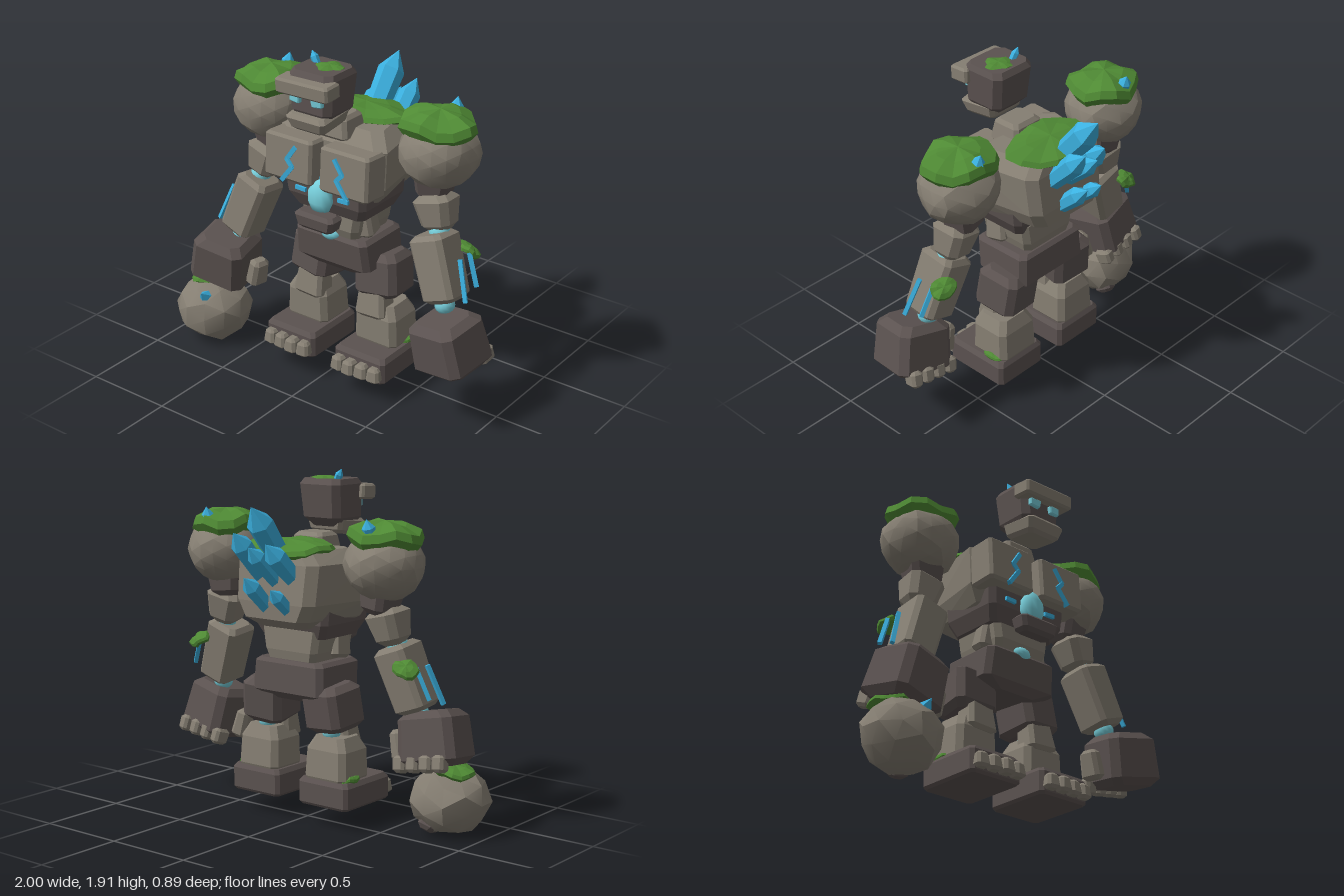
import * as THREE from 'three';
import { ConvexGeometry } from 'three/addons/geometries/ConvexGeometry.js';
import { toCreasedNormals } from 'three/addons/utils/BufferGeometryUtils.js';

const paint = (name, color) => Object.assign(new THREE.MeshStandardMaterial({ color }), { name });
const V = (p) => new THREE.Vector3(...p);

export function createModel() {
  const stone = paint('stone', 0x857e72);
  const dark = paint('dark stone', 0x5b5250);
  const moss = paint('moss', 0x4f8a34);
  const blue = paint('crystal blue', 0x3bb0df);
  const glow = paint('glow cyan', 0x78d0dc);

  const model = new THREE.Group();
  const golem = new THREE.Group();
  golem.name = 'golem';
  golem.position.x = 0.04; // body axis
  model.add(golem);

  function add(name, geo, mat, pos = [0, 0, 0], rot = [0, 0, 0]) {
    const mesh = new THREE.Mesh(geo, mat);
    mesh.name = name;
    mesh.position.set(...pos);
    mesh.rotation.set(...rot);
    golem.add(mesh);
    return mesh;
  }
  function flat(geo) {
    const g = geo.toNonIndexed();
    g.computeVertexNormals();
    return g;
  }

  // Convex block from level rings [y, half width, back z, front z] with cut corners;
  // rear scales the width of the back
  function block(rings, cut = 0.03, rear = 1) {
    const pts = [];
    for (const [y, w, z0, z1] of rings) {
      const c = Math.min(cut, w * 0.5, (z1 - z0) * 0.3);
      for (const s of [-1, 1]) {
        pts.push(V([s * w * rear, y, z0 + c]), V([s * (w * rear - c), y, z0]));
        pts.push(V([s * w, y, z1 - c]), V([s * (w - c), y, z1]));
      }
    }
    return new ConvexGeometry(pts);
  }
  // Chamfered rock; top and bottom scale its ends
  function rock(w, h, d, top = 1, bottom = 1, b = 0.02) {
    const ring = (y, k, i) => [y, k * w / 2 - i, -k * d / 2 + i, k * d / 2 - i];
    return block([ring(-h / 2, bottom, b), ring(b - h / 2, bottom, 0),
      ring(h / 2 - b, top, 0), ring(h / 2, top, b)], b);
  }
  // Rounded boulder with mild lumps
  function boulder(rx, ry, rz, detail, lump, crease) {
    const g = new THREE.IcosahedronGeometry(1, detail);
    const p = g.attributes.position;
    for (let i = 0; i < p.count; i++) {
      const v = new THREE.Vector3().fromBufferAttribute(p, i);
      const k = 1 + lump * Math.sin(4 * v.x + 3 * v.y + 5 * v.z);
      p.setXYZ(i, v.x * k * rx, v.y * k * ry, v.z * k * rz);
    }
    return toCreasedNormals(g, crease);
  }
  // Ragged moss cushion
  function cushion(rx, h, rz, seed = 0) {
    const prof = [[0, 0], [0.85, -0.1], [1, 0.25], [0.93, 0.6], [0.55, 0.88], [0, 1]];
    const g = new THREE.LatheGeometry(prof.map((q) => new THREE.Vector2(...q)), 14);
    const p = g.attributes.position;
    for (let i = 0; i < p.count; i++) {
      const x = p.getX(i), y = p.getY(i), z = p.getZ(i);
      const a = Math.atan2(z, x), r = Math.hypot(x, z);
      const k = 1 + 0.05 * Math.sin(3 * a + seed) + 0.03 * Math.cos(5 * a - seed);
      p.setXYZ(i, x * k * rx, (y + r * 0.16 * Math.sin(4 * a + seed)) * h, z * k * rz);
    }
    return flat(g);
  }
  function between(mesh, a, b) {
    mesh.position.copy(V(a));
    mesh.quaternion.setFromUnitVectors(new THREE.Vector3(0, 1, 0), V(b).sub(V(a)).normalize());
    return mesh;
  }
  // Six-sided prism with a blunt point
  function crystal(name, a, b, r) {
    const L = V(a).distanceTo(V(b));
    const prof = [[0, 0], [r * 0.85, 0], [r, Math.max(L * 0.5, L - r * 1.6)], [0, L]];
    const g = new THREE.LatheGeometry(prof.map((q) => new THREE.Vector2(...q)), 6);
    return between(add(name, flat(g), blue), a, b);
  }
  function bar(name, a, b, t = 0.022) {
    const L = V(a).distanceTo(V(b));
    return between(add(name, new THREE.BoxGeometry(t, L + t * 0.4, t).translate(0, L / 2, 0), blue), a, b);
  }
  const ball = (r) => new THREE.SphereGeometry(r, 14, 10);

  // Torso
  add('torso', block([[1.08, 0.2, -0.2, 0.15], [1.13, 0.28, -0.265, 0.2], [1.22, 0.335, -0.27, 0.22],
    [1.43, 0.345, -0.245, 0.22], [1.5, 0.25, -0.22, 0.12]], 0.05, 0.8), stone);
  add('belly', block([[1.02, 0.22, -0.1, 0.22], [1.1, 0.26, -0.13, 0.26], [1.2, 0.27, -0.13, 0.27]]), dark);
  add('abdomen', block([[0.84, 0.15, -0.1, 0.18], [0.94, 0.18, -0.12, 0.22], [1.06, 0.2, -0.12, 0.22]]), stone);
  add('waistPlate', rock(0.27, 0.095, 0.12, 0.95, 0.85), dark, [0, 1.005, 0.305]);
  add('pelvis', block([[0.67, 0.14, -0.1, 0.16], [0.715, 0.245, -0.15, 0.2],
    [0.87, 0.235, -0.14, 0.22], [0.89, 0.21, -0.12, 0.2]]), dark);
  add('pelvisGem', ball(0.062), glow, [0, 0.89, 0.19]).scale.set(1, 0.65, 0.75);
  add('backMoss', cushion(0.27, 0.07, 0.19, 1), moss, [0, 1.48, -0.11], [-0.08, 0, 0]);

  // Chest gem and crack
  const drop = [[0, -0.085], [0.055, -0.075], [0.075, -0.03], [0.072, 0.03], [0.04, 0.075], [0, 0.1]];
  const gem = add('chestGem', new THREE.LatheGeometry(drop.map((q) => new THREE.Vector2(...q)), 12),
    glow, [0, 1.137, 0.285]);
  gem.scale.z = 0.65;
  bar('chestCrack', [0, 1.23, 0.262], [0, 1.31, 0.24], 0.026);

  // Head
  add('neck', rock(0.23, 0.13, 0.2, 0.85, 1), stone, [0, 1.505, 0.12]);
  add('skull', block([[1.59, 0.1, 0.19, 0.36], [1.64, 0.13, 0.14, 0.385],
    [1.82, 0.14, 0.12, 0.385], [1.85, 0.125, 0.14, 0.365]], 0.035), dark);
  add('brow', rock(0.335, 0.085, 0.12, 1, 1, 0.012), stone, [0, 1.778, 0.385], [0.05, 0, 0.02]);
  add('jaw', rock(0.25, 0.095, 0.24, 1, 0.88), stone, [0, 1.59, 0.3], [0.12, 0, 0]);
  add('headMoss', cushion(0.085, 0.035, 0.08, 2), moss, [0.025, 1.828, 0.23]);
  crystal('headCrystal', [-0.055, 1.82, 0.22], [-0.105, 1.905, 0.21], 0.022);

  // Back crystals
  for (const [a, b, r] of [
    [[0, 1.4, -0.15], [-0.01, 1.74, -0.43], 0.074],
    [[-0.12, 1.32, -0.18], [-0.09, 1.55, -0.41], 0.06],
    [[0.1, 1.32, -0.18], [0.1, 1.6, -0.445], 0.06],
    [[-0.01, 1.3, -0.19], [0, 1.53, -0.44], 0.05],
    [[-0.1, 1.17, -0.22], [-0.1, 1.31, -0.385], 0.042],
    [[0.05, 1.18, -0.22], [0.05, 1.365, -0.42], 0.05],
  ]) crystal('backCrystal', a, b, r);

  for (const s of [-1, 1]) {
    const side = s > 0 ? 'left' : 'right';
    const put = (name, geo, mat, [x, y, z], [a, b, c] = [0, 0, 0]) =>
      add(side + name, geo, mat, [s * x, y, z], [a, s * b, s * c]);

    put('Eye', rock(0.072, 0.046, 0.04, 1, 0.9, 0.006), glow, [0.07, 1.71, 0.388], [0, 0.1, 0.08]);

    // Chest plate with zigzag crack
    put('ChestPlate', rock(0.31, 0.25, 0.17, 1, 1, 0.015), stone, [0.182, 1.315, 0.248], [-0.06, 0, 0]);
    const zig = [[0.13, 1.395], [0.18, 1.323], [0.145, 1.285], [0.21, 1.2]];
    const crackZ = (y) => 0.33 - (y - 1.315) * 0.06;
    for (let i = 0; i < 3; i++) {
      const [[x0, y0], [x1, y1]] = [zig[i], zig[i + 1]];
      bar(side + 'Crack', [s * x0, y0, crackZ(y0)], [s * x1, y1, crackZ(y1)], 0.025);
    }
    bar(side + 'BellyCrack', [s * 0.11, 1.14, 0.268], [s * 0.17, 1.142, 0.268], 0.022);
    put('HipStone', rock(0.1, 0.15, 0.14, 0.8, 0.9), stone, [0.175, 0.97, 0.1], [0.1, 0.2, 0.1]);

    // Shoulder
    put('Shoulder', boulder(0.217, 0.187, 0.21, 2, 0.03, 0.4), stone, [0.55, 1.44, 0]);
    put('ShoulderMoss', cushion(0.21, 0.125, 0.19, s), moss, [0.545, 1.55, 0], [0, 0, -0.04]);
    crystal(side + 'ShoulderCrystal', [s * 0.555, 1.6, -0.13], [s * 0.55, 1.69, -0.16], 0.036);

    // Arm
    put('ArmLink', rock(0.2, 0.17, 0.2, 1, 0.85, 0.03), dark, [0.53, 1.265, 0], [0.1, 0.2, -0.12]);
    put('UpperArm', rock(0.2, 0.2, 0.19, 1.05, 0.85, 0.035), stone, [0.57, 1.12, 0.03], [-0.1, 0.1, 0.25]);
    put('Elbow', ball(0.057), glow, [0.6, 1.02, 0.055]);
    put('Forearm', rock(0.205, 0.365, 0.215, 1, 0.95, 0.025), stone, [0.637, 0.845, 0.095], [-0.12, 0, 0.35]);
    put('ForearmMoss', cushion(0.075, 0.045, 0.06, s + 3), moss, [0.715, 0.905, -0.03], [-0.6, 0, -0.35]);
    bar(side + 'ForearmCrystal', [s * 0.76, 0.92, 0.1], [s * 0.83, 0.72, 0.147], 0.022);
    bar(side + 'ForearmCrystal', [s * 0.755, 0.92, 0.005], [s * 0.82, 0.76, 0.03], 0.022);
    put('Wrist', ball(0.056), glow, [0.69, 0.655, 0.125]);

    // Hand
    const y = s > 0 ? 0.475 : 0.52;
    put('Fist', rock(0.34, 0.295, 0.33, 0.92, 0.98, 0.04), dark, [0.76, y, 0.18], [0.15, -0.15, 0.2]);
    put('Thumb', rock(0.1, 0.165, 0.13, 0.8, 0.9), stone, [0.56, y - 0.06, 0.15], [0, 0.2, 0.25]);
    for (let i = 0; i < 4; i++) {
      put('Finger', rock(0.078, 0.09, 0.11, 0.9, 0.85, 0.015), stone,
        [0.645 + i * 0.082, y - 0.135 + i * 0.014, 0.035], [0.3, -0.15, 0.15]);
    }

    // Leg
    put('Thigh', rock(0.27, 0.25, 0.27, 0.95, 0.95, 0.035), dark, [0.215, 0.645, 0], [-0.12, 0.1, 0.1]);
    put('Knee', ball(0.052), glow, [0.225, 0.515, -0.025]);
    put('Shin', block([[0.22, 0.11, -0.1, 0.11], [0.27, 0.138, -0.12, 0.13], [0.42, 0.132, -0.11, 0.13],
      [0.49, 0.095, -0.08, 0.1]]), stone, [0.235, 0, 0]);
    put('KneePlate', rock(0.19, 0.18, 0.14, 0.85, 1), stone, [0.21, 0.5, 0.075], [-0.1, 0, 0.05]);
    put('Foot', block([[0.11, 0.155, -0.12, 0.26], [0.125, 0.168, -0.13, 0.27], [0.235, 0.168, -0.13, 0.27],
      [0.26, 0.15, -0.115, 0.25]], 0.02), dark, [0.237, 0, 0]);
    for (let i = 0; i < 4; i++) {
      put('Toe', rock(0.08, 0.085, 0.1, 0.85, 1, 0.015), stone,
        [0.122 + i * 0.077, 0.175, 0.285 - Math.abs(i - 1) * 0.008], [0, 0.1 * (i - 1.5), 0]);
    }
    put('AnkleMoss', cushion(0.035, 0.035, 0.07, s), moss, [0.36, 0.255, -0.03]);
  }

  // Boulder carried by the right hand
  add('boulder', boulder(0.222, 0.19, 0.205, 1, 0.05, 0.5), stone, [-0.822, 0.188, 0.235], [0, 0.4, 0]);
  add('boulderMoss', cushion(0.12, 0.05, 0.11, 2), moss, [-0.87, 0.34, 0.2], [0, 0, 0.12]);
  crystal('boulderCrystal', [-0.79, 0.27, 0.31], [-0.775, 0.35, 0.4], 0.038);
  add('boulderChip', rock(0.1, 0.1, 0.1), dark, [-0.765, 0.07, 0.135], [0.5, 0.3, 0.2]);

  return model;
}
